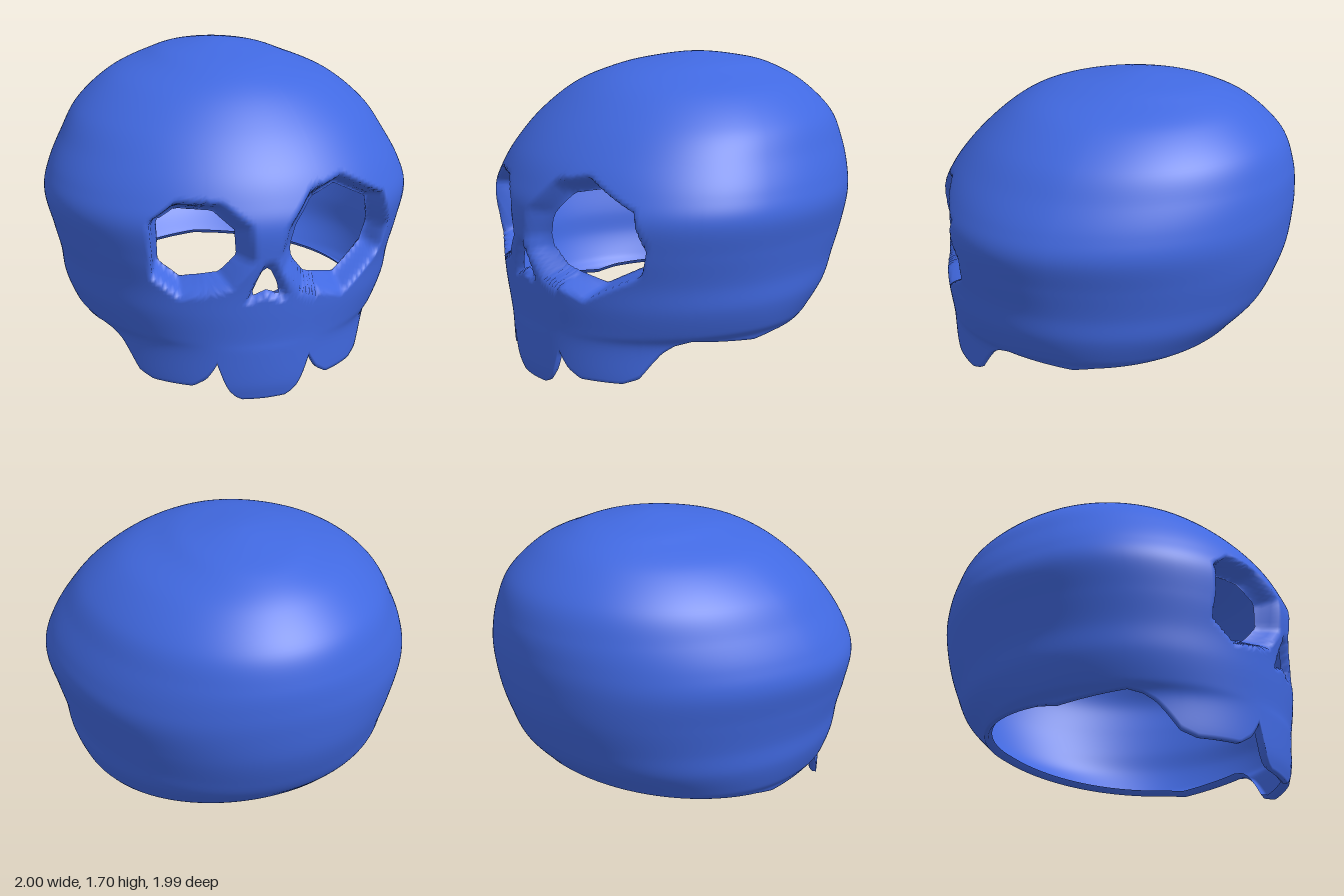
import * as THREE from 'three';

// Horizontal sections, bottom to crown: height, half width, front z, back z, z of widest point.
// The first and last rows only steer the spline ends.
const SECTIONS = [
  [-0.10, 0.78, 0.91, -0.53, 0.05],
  [0.00, 0.78, 0.92, -0.55, 0.05],
  [0.10, 0.79, 0.94, -0.57, 0.05],
  [0.27, 0.80, 0.95, -0.66, 0.05],
  [0.35, 0.85, 0.95, -0.72, 0.06],
  [0.48, 0.90, 0.96, -0.84, 0.08],
  [0.62, 0.92, 0.97, -0.91, 0.10],
  [0.78, 0.96, 0.99, -0.965, 0.12],
  [0.95, 1.00, 0.995, -0.99, 0.12],
  [1.08, 0.97, 0.95, -0.995, 0.10],
  [1.22, 0.90, 0.87, -0.98, 0.06],
  [1.38, 0.80, 0.73, -0.92, 0.00],
  [1.53, 0.62, 0.55, -0.77, -0.05],
  [1.62, 0.41, 0.37, -0.62, -0.10],
  [1.67, 0.26, 0.15, -0.45, -0.13],
  [1.705, 0, -0.15, -0.15, -0.15],
  [1.67, -0.26, -0.45, 0.15, -0.17],
];

// Lower edge with the three broad teeth: angle from the front in degrees, height
const EDGE = [
  [0, 0.01], [8.5, 0.012], [11, 0.03], [13.7, 0.07], [16, 0.14], [18, 0.22], [19.5, 0.18],
  [22, 0.13], [27, 0.085], [43, 0.08], [49, 0.11], [54, 0.2], [57, 0.25], [61, 0.29],
  [66, 0.31], [90, 0.27], [100, 0.29], [180, 0.36],
];

// Openings seen from the front; depth is how far the rim is sunk
const OPENINGS = [
  { name: 'leftEye', c: [0.41, 0.84], depth: 0.11, flare: 0.09, reach: 1.35,
    pts: [[0.14, 0.82], [0.17, 0.93], [0.27, 1.05], [0.42, 1.085], [0.63, 0.97], [0.66, 0.82],
      [0.63, 0.72], [0.43, 0.6], [0.23, 0.66], [0.15, 0.76]] },
  { name: 'rightEye', c: [-0.33, 0.84], depth: 0.11, flare: 0.12, reach: 1.4,
    pts: [[-0.51, 0.95], [-0.42, 1.02], [-0.25, 1.02], [-0.15, 0.93], [-0.14, 0.8],
      [-0.22, 0.7], [-0.4, 0.655], [-0.5, 0.73]] },
  { name: 'nose', c: [0, 0.665], depth: 0.04, flare: 0, reach: 1.5,
    pts: [[0.015, 0.74], [0.045, 0.68], [0.08, 0.59], [0, 0.62], [-0.08, 0.59], [-0.045, 0.68], [-0.015, 0.74]] },
];

const COLS = 300, ROWS = 96, LIP = 2;

// Catmull-Rom spline through the sections
function section(u) {
  const i = Math.min(Math.floor(u), SECTIONS.length - 3), t = u - i;
  const [a, b, c, d] = [-1, 0, 1, 2].map(k => SECTIONS[i + k]);
  return b.map((p, k) => p + 0.5 * t * (c[k] - a[k]
    + t * (2 * a[k] - 5 * p + 4 * c[k] - d[k] + t * (3 * (p - c[k]) + d[k] - a[k]))));
}

function sectionAtHeight(y) {
  let lo = 1, hi = SECTIONS.length - 2;
  for (let k = 0; k < 30; k++) {
    const mid = (lo + hi) / 2;
    if (section(mid)[0] < y) lo = mid; else hi = mid;
  }
  return lo;
}

function edgeHeight(deg) {
  const i = Math.max(1, EDGE.findIndex(e => e[0] >= deg - 1e-6));
  const [a, b] = [EDGE[i - 1], EDGE[i]];
  return THREE.MathUtils.lerp(a[1], b[1], (deg - a[0]) / (b[0] - a[0]));
}

// Distance from the centre of an opening to its outline in direction (dx, dy)
function outlineRadius({ c, pts }, dx, dy) {
  let best = 0;
  pts.forEach((p, i) => {
    const q = pts[(i + 1) % pts.length];
    const px = p[0] - c[0], py = p[1] - c[1], ex = q[0] - p[0], ey = q[1] - p[1];
    const det = dx * ey - dy * ex;
    if (Math.abs(det) < 1e-9) return;
    const r = (px * ey - py * ex) / det, s = (px * dy - py * dx) / det;
    if (r > 0 && s >= -1e-6 && s <= 1 + 1e-6) best = Math.max(best, r);
  });
  return best;
}

// Sinks the rim of each opening; points inside are moved onto its outline
function carve(p) {
  let inside = false;
  if (p.z < 0.2) return inside;
  for (const o of OPENINGS) {
    const dx = p.x - o.c[0], dy = p.y - o.c[1], d = Math.hypot(dx, dy) || 1e-6;
    if (d > 0.5) continue;
    const r = outlineRadius(o, dx / d, dy / d);
    if (!r) continue;
    const outer = THREE.MathUtils.clamp((Math.abs(p.x) - 0.15) / 0.5, 0, 1);
    p.z -= (o.depth + o.flare * outer) * (1 - THREE.MathUtils.smoothstep(d / r, 1, o.reach));
    if (d < r) {
      inside = true;
      p.x = o.c[0] + dx * r / d;
      p.y = o.c[1] + dy * r / d;
    }
  }
  return inside;
}

function shellGeometry() {
  const pos = [], index = [], open = [], total = ROWS + 1 + LIP;
  for (let i = 0; i < COLS; i++) {
    const deg = i * 360 / COLS, t = THREE.MathUtils.degToRad(deg);
    const u0 = sectionAtHeight(edgeHeight(deg > 180 ? 360 - deg : deg));
    for (let j = 0; j < total; j++) {
      const k = Math.max(0, j - LIP), lip = Math.max(0, LIP - j);
      const [y, w, front, back, mid] = section(THREE.MathUtils.lerp(u0, SECTIONS.length - 2, k / ROWS));
      // the lowest rows fold inward to give the edge some thickness
      const s = 1 - 0.025 * lip;
      const cos = Math.cos(t);
      const p = new THREE.Vector3(
        w * s * Math.sin(t),
        y + (lip === 2 ? 0.025 : 0),
        mid + s * cos * (cos > 0 ? front - mid : mid - back));
      open.push(carve(p));
      pos.push(p.x, p.y, p.z);
    }
  }
  const face = (...f) => { if (f.some(v => !open[v])) index.push(...f); };
  for (let i = 0; i < COLS; i++) {
    for (let j = 0; j < total - 1; j++) {
      const a = i * total + j, b = ((i + 1) % COLS) * total + j;
      face(a, b, b + 1);
      face(a, b + 1, a + 1);
    }
  }
  const geo = new THREE.BufferGeometry();
  geo.setAttribute('position', new THREE.Float32BufferAttribute(pos, 3));
  geo.setIndex(index);
  geo.computeVertexNormals();
  return geo;
}

export function createModel() {
  const group = new THREE.Group();
  group.name = 'skullMask';
  const shell = new THREE.Mesh(shellGeometry(),
    new THREE.MeshStandardMaterial({ color: 0x4169e1, side: THREE.DoubleSide }));
  shell.name = 'skullShell';
  group.add(shell);
  return group;
}
